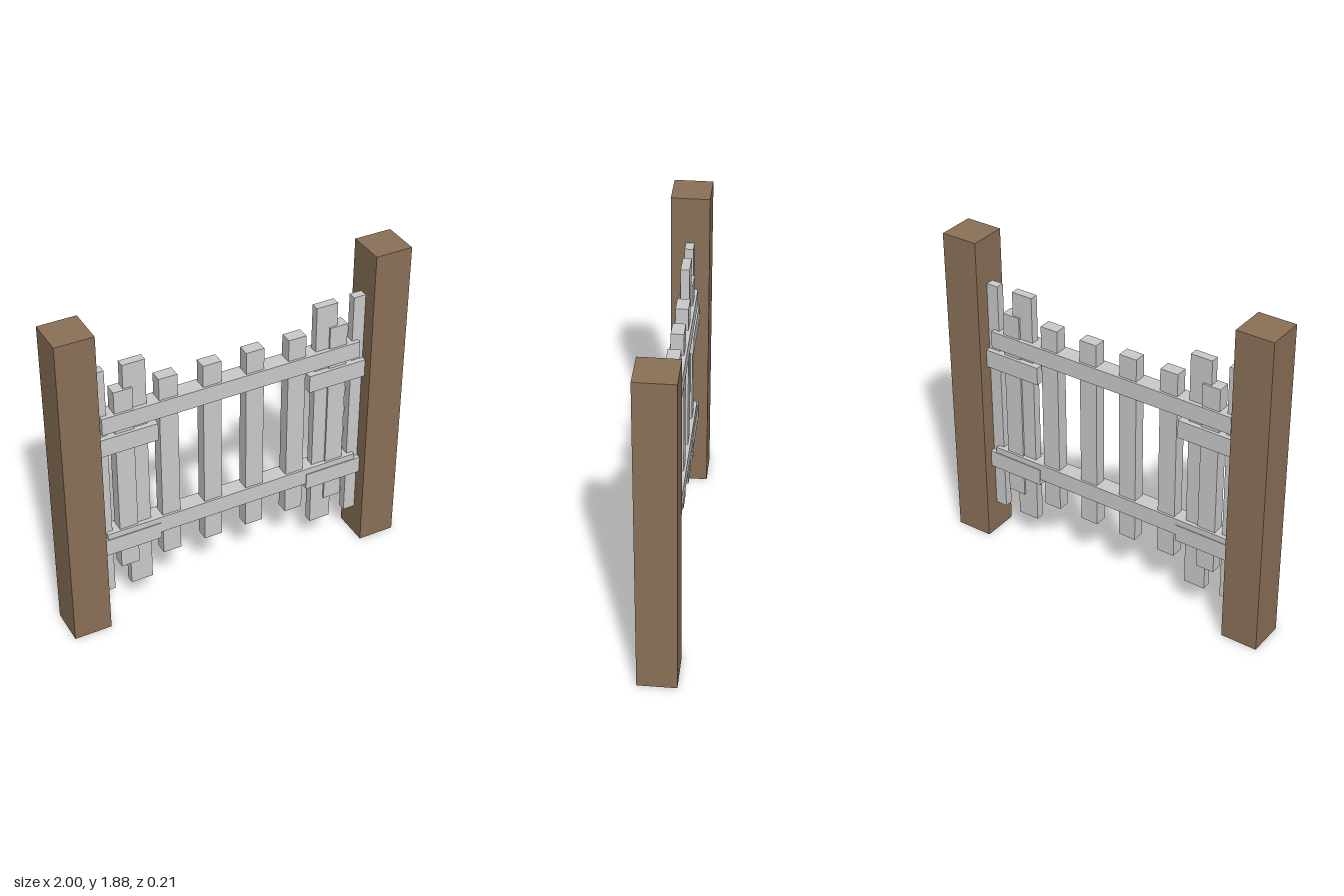
import * as THREE from 'three';

const grey = new THREE.MeshStandardMaterial({ color: 0xcccccc });
const brown = new THREE.MeshStandardMaterial({ color: 0x8b7158 });

export function createModel() {
  const group = new THREE.Group();

  // Box given by its centre x, bottom, top, width and depth, centred on z = 0
  const board = (name, x, y0, y1, width, depth, material = grey) => {
    const mesh = new THREE.Mesh(new THREE.BoxGeometry(width, y1 - y0, depth), material);
    mesh.name = name;
    mesh.position.set(x, (y0 + y1) / 2, 0);
    group.add(mesh);
  };

  // Long rails across the middle panel
  board('lowerRail', 0, 0.49, 0.59, 1.505, 0.096);
  board('upperRail', 0, 1.24, 1.34, 1.505, 0.096);

  for (const [side, s] of [['left', 1], ['right', -1]]) {
    // Square post
    board(`${side}Post`, s * 0.8935, 0, 1.88, 0.213, 0.213, brown);

    // Short rails joining the panel to the post
    board(`${side}LowerBracket`, s * 0.668, 0.455, 0.555, 0.445, 0.106);
    board(`${side}UpperBracket`, s * 0.668, 1.11, 1.215, 0.445, 0.106);

    // Narrow pickets of the middle panel
    [0.125, 0.375, 0.625].forEach((x, i) =>
      board(`${side}Picket${i + 1}`, s * x, 0.33, 1.47, 0.105, 0.07));

    // Tall, thin pickets next to the post
    [0.556, 0.78].forEach((x, i) =>
      board(`${side}TallPicket${i + 1}`, s * x, 0.185, 1.61, 0.126, 0.048));
  }
  return group;
}
